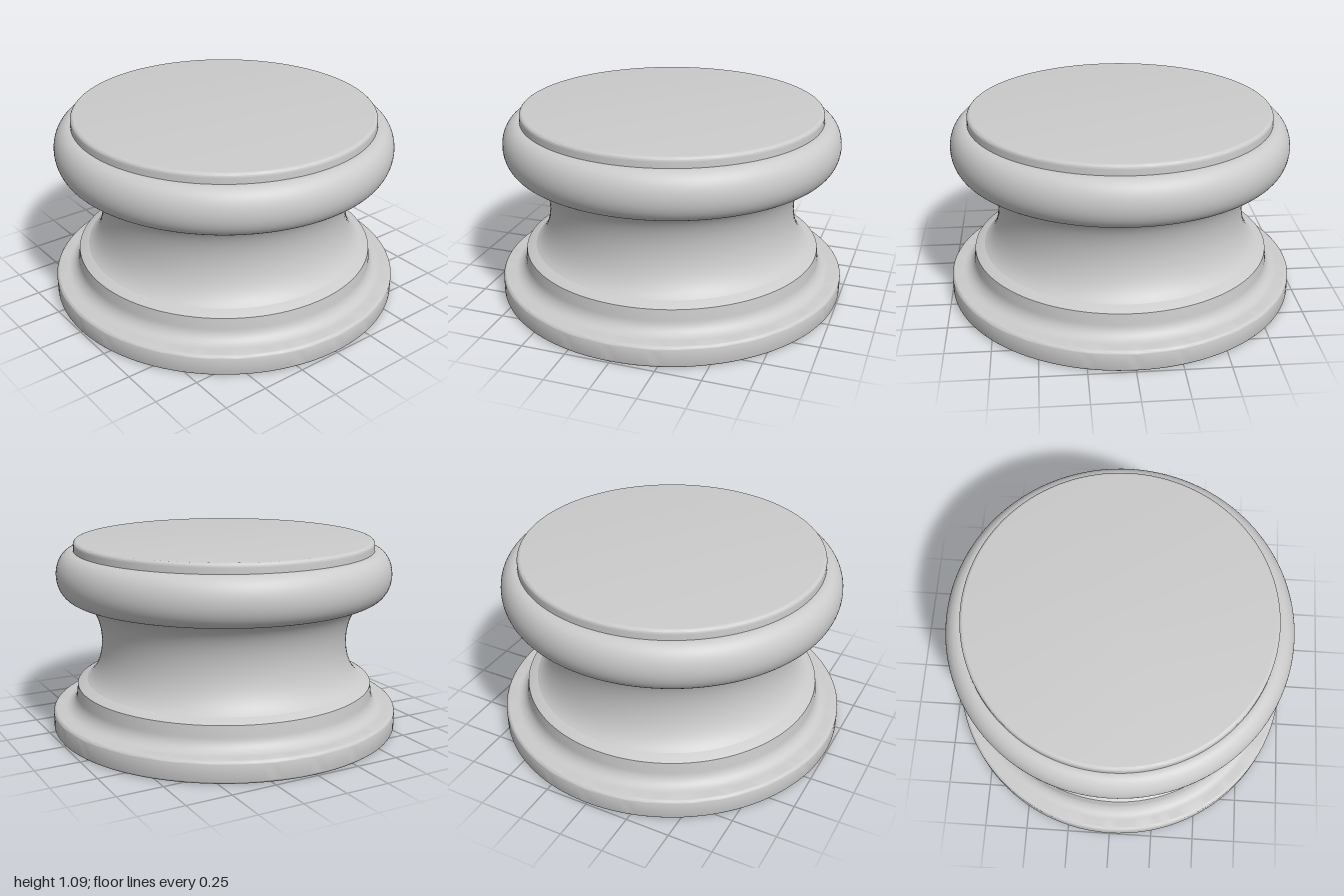
import * as THREE from 'three';
import { toCreasedNormals } from 'three/addons/utils/BufferGeometryUtils.js';

const material = new THREE.MeshStandardMaterial({ color: 0xcccccc });

// Elliptical arc of profile points (radius, height), angles in degrees
function arc(r, y, rx, ry, from, to, steps = 8) {
  return Array.from({ length: steps + 1 }, (_, i) => {
    const a = THREE.MathUtils.degToRad(from + ((to - from) * i) / steps);
    return [r + rx * Math.cos(a), y + ry * Math.sin(a)];
  });
}

// Turned part from a profile listed bottom to top
function turned(name, profile) {
  const points = profile.map(([r, y]) => new THREE.Vector2(r, y));
  const geometry = toCreasedNormals(new THREE.LatheGeometry(points, 128), 0.6);
  const mesh = new THREE.Mesh(geometry, material);
  mesh.name = name;
  return mesh;
}

export function createModel() {
  const group = new THREE.Group();
  group.name = 'columnBase';

  // Flat foot disc with softened edges
  group.add(turned('foot', [
    [0, 0],
    ...arc(0.98, 0.02, 0.02, 0.02, -90, 0, 6),
    ...arc(0.98, 0.1, 0.02, 0.023, 0, 90, 6),
    [0.85, 0.123],
  ]));

  // Small cove rising from the foot to a narrow fillet
  group.add(turned('lowerCove', [
    ...arc(0.935, 0.203, 0.072, 0.08, 270, 180, 10),
    [0.856, 0.26],
    [0.845, 0.266],
    [0.8, 0.283],
  ]));

  // Deep hollow neck
  group.add(turned('neck', [
    ...arc(0.855, 0.515, 0.145, 0.25, 248, 90, 28),
  ]));

  // Large bulging ring
  group.add(turned('ring', [
    [0.7, 0.767],
    ...arc(0.86, 0.901, 0.096, 0.134, -90, 90, 32),
    [0.7, 1.035],
  ]));

  // Top disc with a softened rim
  group.add(turned('topDisc', [
    [0.856, 1.03],
    ...arc(0.835, 1.068, 0.02, 0.022, 0, 90, 8),
    [0, 1.09],
  ]));

  return group;
}
